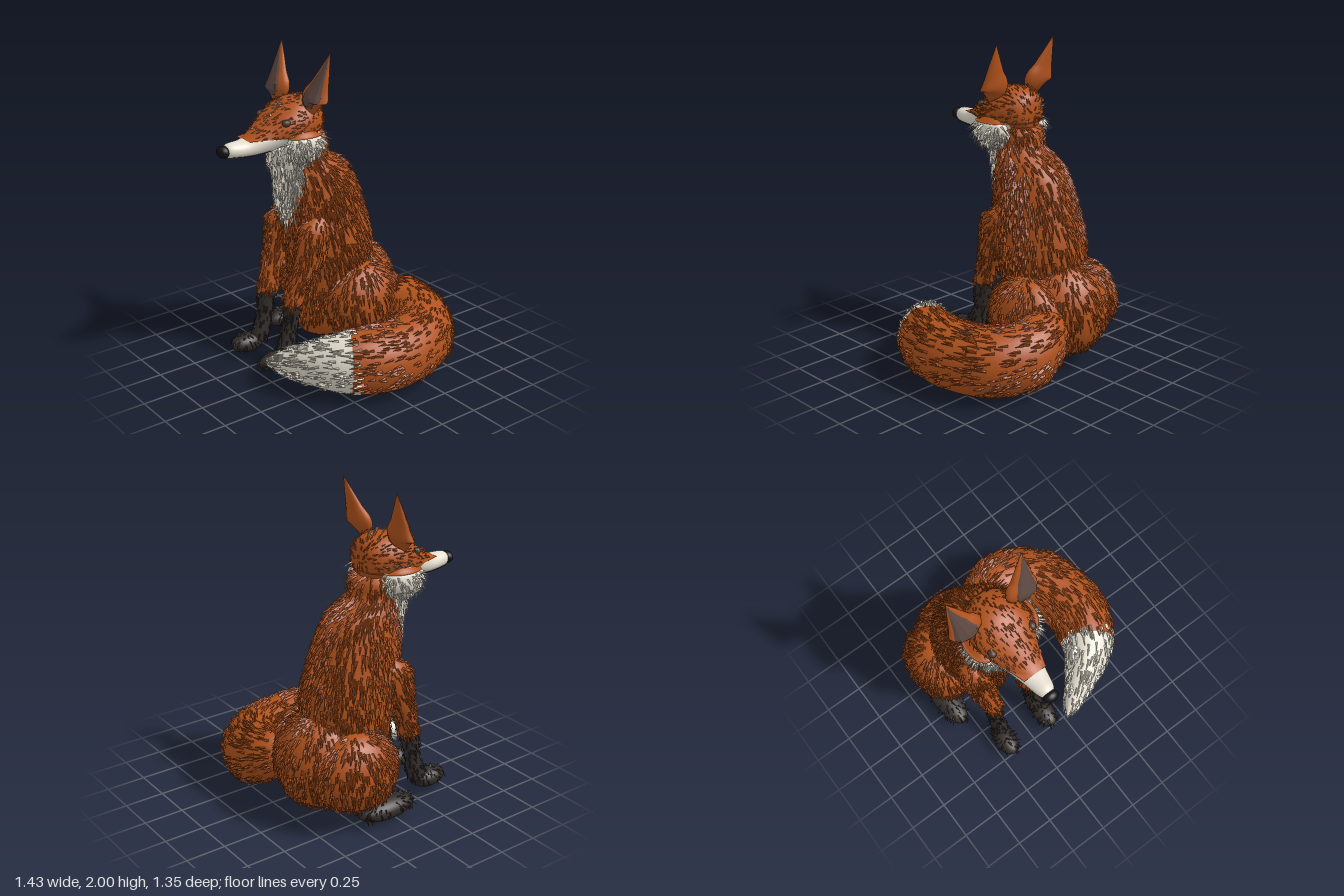
import * as THREE from 'three';

const ORANGE = 0xb0521c, WHITE = 0xe6dfd0, DARK = 0x332c29, BLACK = 0x151313, EAR = 0x5c4640, EYE = 0x4a3a2c;
const V = (x, y, z) => new THREE.Vector3(x, y, z);

// small seeded random generator
let seed = 7;
const rnd = () => {
  seed = (seed * 1664525 + 1013904223) % 4294967296;
  return seed / 4294967296;
};

// surface swept through elliptical rings [x, y, z, sideRadius, upRadius]
function sweep(rings, up) {
  const line = new THREE.CatmullRomCurve3(rings.map(r => V(r[0], r[1], r[2])), false, 'catmullrom');
  const size = new THREE.CatmullRomCurve3(rings.map(r => V(r[3], r[4], 0)), false, 'catmullrom');
  return (u, v) => {
    const a = v * Math.PI * 2, c = line.getPoint(u), r = size.getPoint(u);
    const side = up.clone().cross(line.getTangent(u)).normalize();
    return c.addScaledVector(side, Math.max(0, r.x) * Math.cos(a))
      .addScaledVector(up, Math.max(0, r.y) * Math.sin(a));
  };
}

// ellipsoid running from top to bottom
const ball = (x, y, z, rx, ry, rz) => (u, v) => {
  const p = u * Math.PI, a = v * Math.PI * 2;
  return V(x + rx * Math.sin(p) * Math.cos(a), y + ry * Math.cos(p), z + rz * Math.sin(p) * Math.sin(a));
};

// halves of a surface above and below the face mask line
const MASK = 1.5;
const clip = (f, limit) => (u, v) => { const p = f(u, v); p.y = limit(p.y, MASK); return p; };
const above = f => clip(f, Math.max), below = f => clip(f, Math.min);

// mesh over a surface function, closed around v
function skin(parent, name, f, color, { nu = 28, nv = 28, u0 = 0, u1 = 1, flat = false } = {}) {
  const pos = [], idx = [];
  for (let i = 0; i <= nu; i++)
    for (let j = 0; j < nv; j++) pos.push(...f(u0 + (u1 - u0) * i / nu, j / nv).toArray());
  for (let i = 0; i < nu; i++)
    for (let j = 0; j < nv; j++) {
      const a = i * nv + j, b = i * nv + (j + 1) % nv;
      idx.push(a, b, a + nv, b, b + nv, a + nv);
    }
  const g = new THREE.BufferGeometry();
  g.setAttribute('position', new THREE.Float32BufferAttribute(pos, 3));
  g.setIndex(idx);
  g.computeVertexNormals();
  const m = new THREE.Mesh(g, new THREE.MeshStandardMaterial({ color, flatShading: flat }));
  m.name = name;
  parent.add(m);
}

// pointed tufts scattered evenly over a surface, lying along its flow
function fur(parent, name, f, color, count, len, { lift = 0.3, u0 = 0, u1 = 1, keep = () => true } = {}) {
  const e = 0.004, pos = [];
  const sample = () => {
    const u = Math.min(0.99, Math.max(0.01, u0 + (u1 - u0) * rnd())), v = rnd(), p = f(u, v);
    const du = f(u + e, v).sub(f(u - e, v)), dv = f(u, v + e).sub(f(u, v - e));
    const n = dv.cross(du);
    return { p, n, flow: du.normalize(), area: n.length() };
  };
  let most = 0;
  for (let i = 0; i < 200; i++) most = Math.max(most, sample().area);
  for (let made = 0, tries = 0; made < count && tries < count * 12; tries++) {
    const { p, n, flow, area } = sample();
    if (area < rnd() * most || area === 0 || !keep(p)) continue;
    made++;
    n.normalize();
    const l = len * (0.7 + 0.6 * rnd()), w = Math.min(0.008, l * 0.16);
    const side = flow.clone().cross(n).normalize();
    const dir = flow.clone().addScaledVector(n, lift * (0.6 + 0.8 * rnd()))
      .addScaledVector(side, (rnd() - 0.5) * 0.3).normalize();
    const b1 = p.clone().addScaledVector(side, w), b2 = p.clone().addScaledVector(side, -w);
    const b3 = p.clone().addScaledVector(n, w * 1.2), tip = p.clone().addScaledVector(dir, l);
    for (const q of [b3, b1, tip, b2, b3, tip, b1, b2, tip]) pos.push(q.x, q.y, q.z);
  }
  const g = new THREE.BufferGeometry();
  g.setAttribute('position', new THREE.Float32BufferAttribute(pos, 3));
  g.computeVertexNormals();
  const m = new THREE.Mesh(g, new THREE.MeshStandardMaterial({ color }));
  m.name = name;
  parent.add(m);
}

export function createModel() {
  seed = 7;
  const root = new THREE.Group();
  root.name = 'sittingFox';
  const fox = new THREE.Group();
  fox.name = 'fox';
  fox.position.x = -0.26;
  root.add(fox);
  const Y = V(0, 1, 0), Z = V(0, 0, 1);

  // torso, rump and chest bib
  const torso = sweep([
    [0, 1.52, 0.1, 0, 0], [0, 1.45, 0.08, 0.13, 0.13], [0, 1.34, 0.06, 0.14, 0.15], [0, 1.23, -0.01, 0.18, 0.225],
    [0, 1.08, -0.05, 0.215, 0.265], [0, 0.8, -0.105, 0.255, 0.295], [0, 0.6, -0.135, 0.255, 0.265],
    [0, 0.35, -0.13, 0.23, 0.24], [0, 0.13, -0.12, 0.16, 0.19], [0, 0.06, -0.12, 0, 0]], Z);
  skin(fox, 'torso', torso, ORANGE, { nu: 48 });
  fur(fox, 'torsoFur', torso, ORANGE, 2700, 0.07, { u1: 0.84 });
  const rump = ball(0, 0.375, -0.305, 0.285, 0.31, 0.285);
  skin(fox, 'rump', rump, ORANGE);
  fur(fox, 'rumpFur', rump, ORANGE, 1100, 0.06, { u1: 0.85 });
  const bib = sweep([
    [0, 1.48, 0.16, 0, 0], [0, 1.45, 0.16, 0.11, 0.1], [0, 1.35, 0.17, 0.13, 0.11], [0, 1.2, 0.15, 0.125, 0.1],
    [0, 1.05, 0.15, 0.105, 0.09], [0, 0.95, 0.16, 0.075, 0.06], [0, 0.89, 0.18, 0, 0]], Z);
  skin(fox, 'chestBib', bib, WHITE);
  fur(fox, 'chestBibFur', bib, WHITE, 600, 0.08, { keep: p => p.z > 0.08 });

  // head with long muzzle: orange crown and nape, white jaw
  const head = sweep([
    [0, 1.56, -0.05, 0, 0], [0, 1.56, -0.025, 0.1, 0.1], [0, 1.56, 0.06, 0.165, 0.145], [0, 1.55, 0.16, 0.185, 0.155],
    [0, 1.535, 0.26, 0.165, 0.12], [0, 1.49, 0.36, 0.12, 0.095], [0, 1.45, 0.48, 0.078, 0.057],
    [0, 1.45, 0.6, 0.048, 0.043], [0, 1.45, 0.63, 0, 0]], Y);
  skin(fox, 'crown', above(head), ORANGE, { nu: 44, nv: 48, u1: 0.76 });
  skin(fox, 'nape', below(head), ORANGE, { nu: 12, nv: 48, u1: 0.22 });
  skin(fox, 'jaw', below(head), WHITE, { nu: 44, nv: 48, u0: 0.22 });
  fur(fox, 'crownFur', head, ORANGE, 420, 0.03, { lift: 0.5, keep: p => p.y > 1.51 && p.z < 0.42 });
  skin(fox, 'nose', ball(0, 1.45, 0.632, 0.047, 0.037, 0.036), BLACK, { nu: 14, nv: 16 });
  for (const v of [0.88, 0.62]) {
    const path = [0.62, 0.7, 0.78, 0.86].map(u => head(u, v));
    const mouth = new THREE.Mesh(
      new THREE.TubeGeometry(new THREE.CatmullRomCurve3(path), 12, 0.004, 5),
      new THREE.MeshStandardMaterial({ color: BLACK }));
    mouth.name = 'mouthLine';
    fox.add(mouth);
  }

  for (const s of [-1, 1]) {
    const side = new THREE.Group();
    side.name = s > 0 ? 'leftSide' : 'rightSide';
    fox.add(side);
    const mir = rings => rings.map(([x, ...r]) => [x * s, ...r]);

    // cheek ruff, eye and ear
    const cheek = ball(s * 0.16, 1.445, 0.16, 0.07, 0.09, 0.125);
    skin(side, 'cheekTop', above(cheek), ORANGE, { nu: 16, nv: 20 });
    skin(side, 'cheek', below(cheek), WHITE, { nu: 16, nv: 20 });
    fur(side, 'cheekFur', cheek, WHITE, 150, 0.06, { lift: 0.8, keep: p => p.y < 1.49 && p.x * s > 0.12 });
    skin(side, 'eye', ball(s * 0.136, 1.59, 0.275, 0.024, 0.022, 0.028), EYE, { nu: 10, nv: 12 });
    const ear = sweep(mir([
      [0.21, 1.63, 0.13, 0, 0], [0.19, 1.71, 0.11, 0.105, 0.05], [0.21, 1.81, 0.083, 0.07, 0.034],
      [0.228, 1.905, 0.056, 0.035, 0.017], [0.245, 2.0, 0.03, 0, 0]]), Z);
    skin(side, 'ear', ear, ORANGE, { nv: 12 });
    const inner = sweep(mir([
      [0.21, 1.67, 0.15, 0, 0], [0.197, 1.715, 0.14, 0.078, 0.032], [0.213, 1.805, 0.107, 0.052, 0.02],
      [0.23, 1.89, 0.074, 0.026, 0.01], [0.245, 1.98, 0.04, 0, 0]]), Z);
    skin(side, 'earInside', inner, EAR, { nu: 12, nv: 8, flat: true });

    // front leg, stocking and paw
    const leg = sweep(mir([
      [0.17, 1.0, 0.06, 0, 0], [0.17, 0.9, 0.09, 0.08, 0.11], [0.165, 0.7, 0.14, 0.08, 0.095],
      [0.145, 0.52, 0.22, 0.062, 0.068], [0.14, 0.42, 0.25, 0.055, 0.06], [0.14, 0.39, 0.255, 0, 0]]), Z);
    skin(side, 'frontLeg', leg, ORANGE, { nv: 18 });
    fur(side, 'frontLegFur', leg, ORANGE, 420, 0.055, { u1: 0.85 });
    const stocking = sweep(mir([
      [0.14, 0.44, 0.245, 0, 0], [0.14, 0.425, 0.25, 0.05, 0.055], [0.14, 0.25, 0.28, 0.045, 0.05],
      [0.145, 0.1, 0.32, 0.05, 0.06], [0.15, 0.04, 0.33, 0, 0]]), Z);
    skin(side, 'stocking', stocking, DARK, { nv: 16 });
    fur(side, 'stockingFur', stocking, DARK, 150, 0.035, { lift: 0.4 });
    const paw = ball(s * 0.16, 0.08, 0.4, 0.07, 0.06, 0.118);
    skin(side, 'frontPaw', paw, DARK, { nu: 16, nv: 20 });
    fur(side, 'frontPawFur', paw, DARK, 80, 0.03, { lift: 0.5, u1: 0.55 });

    // haunch and long hind foot
    const haunch = ball(s * 0.24, 0.36, -0.23, 0.19, 0.25, 0.265);
    skin(side, 'haunch', haunch, ORANGE);
    fur(side, 'haunchFur', haunch, ORANGE, 850, 0.06, { u1: 0.85 });
    const foot = ball(s * 0.31, 0.09, -0.06, 0.09, 0.068, 0.205);
    skin(side, 'hindFoot', foot, DARK, { nu: 16, nv: 20 });
    fur(side, 'hindFootFur', foot, DARK, 110, 0.035, { lift: 0.5, u1: 0.55 });
  }

  // bushy tail curling round to the front
  const tail = sweep([
    [-0.1, 0.34, -0.35, 0.05, 0.05], [0.04, 0.31, -0.44, 0.15, 0.16], [0.22, 0.25, -0.465, 0.19, 0.205],
    [0.395, 0.22, -0.35, 0.205, 0.212], [0.48, 0.215, -0.12, 0.205, 0.21], [0.468, 0.22, 0.08, 0.195, 0.208],
    [0.385, 0.22, 0.25, 0.16, 0.185], [0.23, 0.2, 0.385, 0.105, 0.135], [0.07, 0.175, 0.49, 0.05, 0.065],
    [-0.01, 0.165, 0.54, 0, 0]], Y);
  skin(root, 'tail', tail, ORANGE, { nu: 40, u1: 0.64 });
  skin(root, 'tailTip', tail, WHITE, { nu: 20, u0: 0.64 });
  fur(root, 'tailFur', tail, ORANGE, 750, 0.065, { u0: 0.08, u1: 0.63, lift: 0.25, keep: p => p.y > 0.08 });
  fur(root, 'tailTipFur', tail, WHITE, 330, 0.06, { u0: 0.61, lift: 0.25, keep: p => p.y > 0.08 });
  return root;
}
